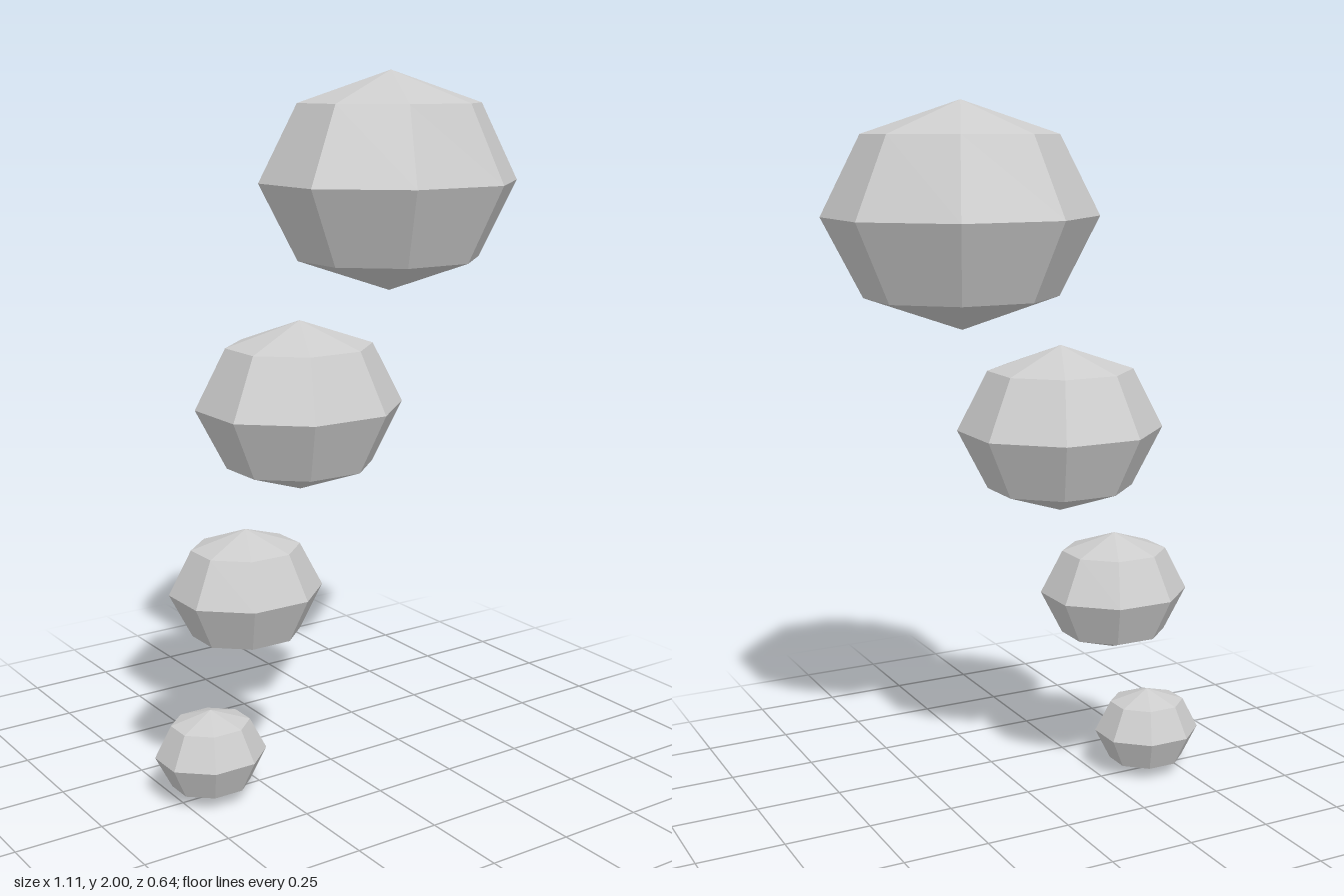
import * as THREE from 'three';

// Chain of faceted, slightly flattened beads rising towards the left.
export function createModel() {
  const group = new THREE.Group();
  group.name = 'beadChain';
  const material = new THREE.MeshStandardMaterial({ color: 0xcccccc, flatShading: true });

  // Eight-sided unit bead, turned so a flat side faces the front
  const bead = new THREE.SphereGeometry(1, 8, 4).rotateY(Math.PI / 8);

  // Centre x, centre y, half height; from the lowest bead up
  const beads = [
    [-0.407, 0.13, 0.128],
    [-0.285, 0.588, 0.176],
    [-0.104, 1.091, 0.239],
    [0.2, 1.695, 0.305],
  ];
  beads.forEach(([x, y, r], i) => {
    const mesh = new THREE.Mesh(bead, material);
    mesh.name = `bead${i + 1}`;
    mesh.position.set(x, y, 0);
    mesh.scale.set(r * 1.25, r, r * 1.13);
    group.add(mesh);
  });
  return group;
}
